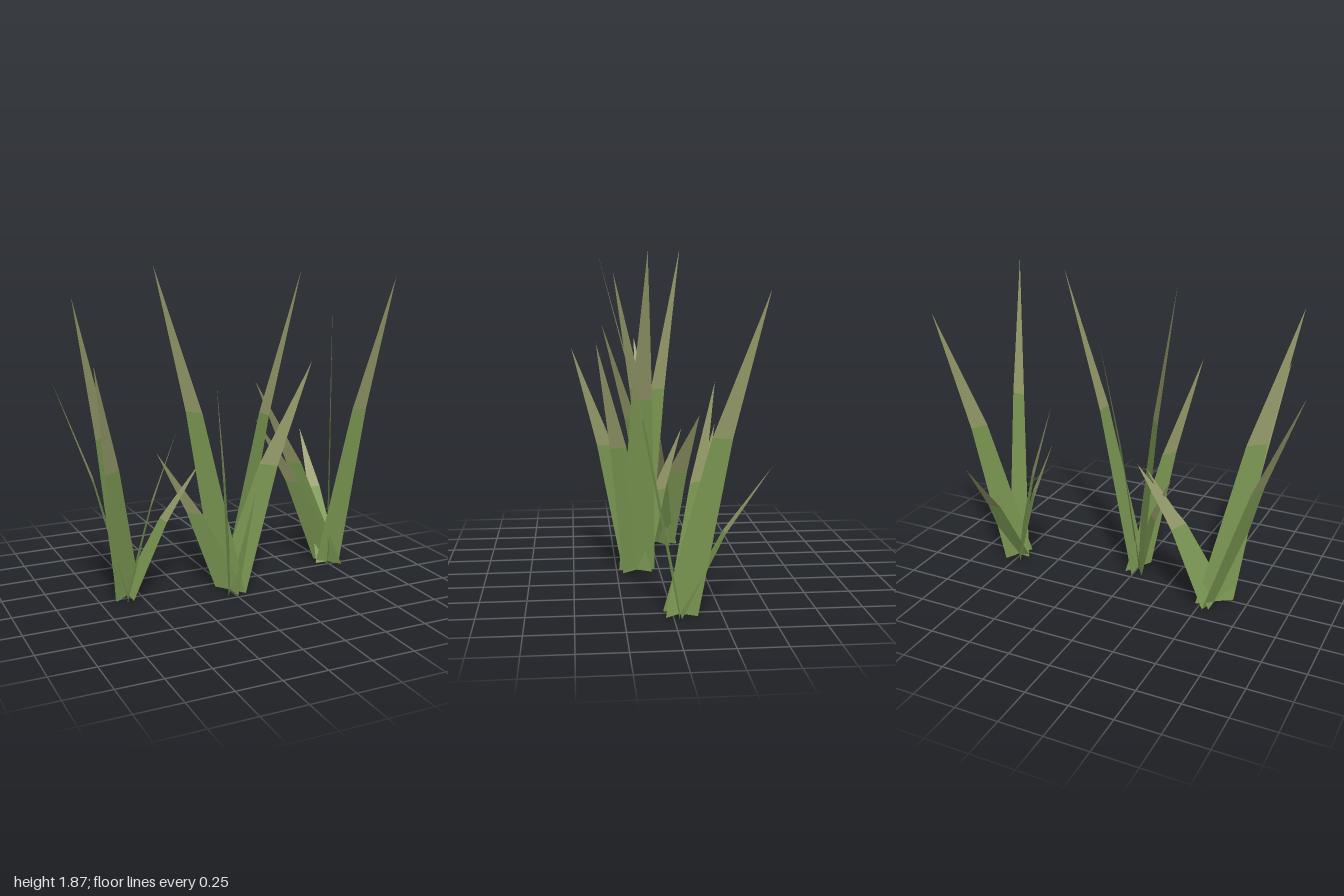
import * as THREE from 'three';

// Each blade: tip [x, y, z] and half of its base edge [x, z]
const CLUMPS = [
  { name: 'rightClump', base: [-0.565, -0.045], blades: [
    [[-1.0, 1.3, 0.08], [-0.035, 0.115]],
    [[-0.92, 1.74, 0.22], [0.09, -0.07]],
    [[-0.84, 1.4, 0.3], [0.095, -0.065]],
    [[-0.165, 0.89, -0.26], [0.04, -0.105]],
    [[-0.11, 0.76, -0.02], [0.0, 0.1]],
  ] },
  { name: 'middleClump', base: [0.005, 0.13], blades: [
    [[0.46, 1.84, 0.1], [0.002, 0.105]],
    [[-0.34, 1.87, -0.155], [0.06, 0.08]],
    [[-0.25, 1.29, 0.5], [-0.05, 0.085]],
    [[0.385, 1.36, 0.37], [0.06, 0.085]],
    [[-0.33, 0.79, -0.17], [0.06, 0.08]],
  ] },
  { name: 'leftClump', base: [0.765, -0.04], blades: [
    [[0.92, 1.81, 0.37], [0.078, 0.012]],
    [[1.0, 1.65, -0.44], [0.045, -0.085]],
    [[0.36, 1.15, -0.27], [0.055, 0.08]],
    [[0.36, 0.92, -0.27], [0.055, 0.08]],
    [[0.805, 0.77, -0.5], [0.08, 0.0]],
  ] },
];

function facet(name, corners, triangles, material) {
  const g = new THREE.BufferGeometry();
  g.setAttribute('position', new THREE.Float32BufferAttribute(triangles.flatMap((i) => corners[i].toArray()), 3));
  g.computeVertexNormals();
  const mesh = new THREE.Mesh(g, material);
  mesh.name = name;
  return mesh;
}

export function createModel() {
  const green = new THREE.MeshStandardMaterial({ color: 0x7d9a54, side: THREE.DoubleSide });
  green.name = 'leaf green';
  const olive = new THREE.MeshStandardMaterial({ color: 0x969c6a, side: THREE.DoubleSide });
  olive.name = 'dry olive';

  const model = new THREE.Group();
  model.name = 'grassClumps';

  for (const { name, base, blades } of CLUMPS) {
    const clump = new THREE.Group();
    clump.name = name;
    for (const [tip, half] of blades) {
      const root = new THREE.Vector3(base[0], 0, base[1]);
      const end = new THREE.Vector3(...tip);
      const w = new THREE.Vector3(half[0], 0, half[1]);
      // The blade bends outward a little above half its height
      const bend = root.clone().lerp(end, 0.48).setY(end.y * 0.56);
      const corners = [
        root.clone().sub(w), root.clone().add(w),
        bend.clone().addScaledVector(w, 0.55), bend.clone().addScaledVector(w, -0.55),
        end,
      ];
      const blade = new THREE.Group();
      blade.name = 'blade';
      blade.add(
        facet('bladeLower', corners, [0, 1, 2, 0, 2, 3], green),
        facet('bladeTip', corners, [3, 2, 4], olive),
      );
      clump.add(blade);
    }
    model.add(clump);
  }
  return model;
}
